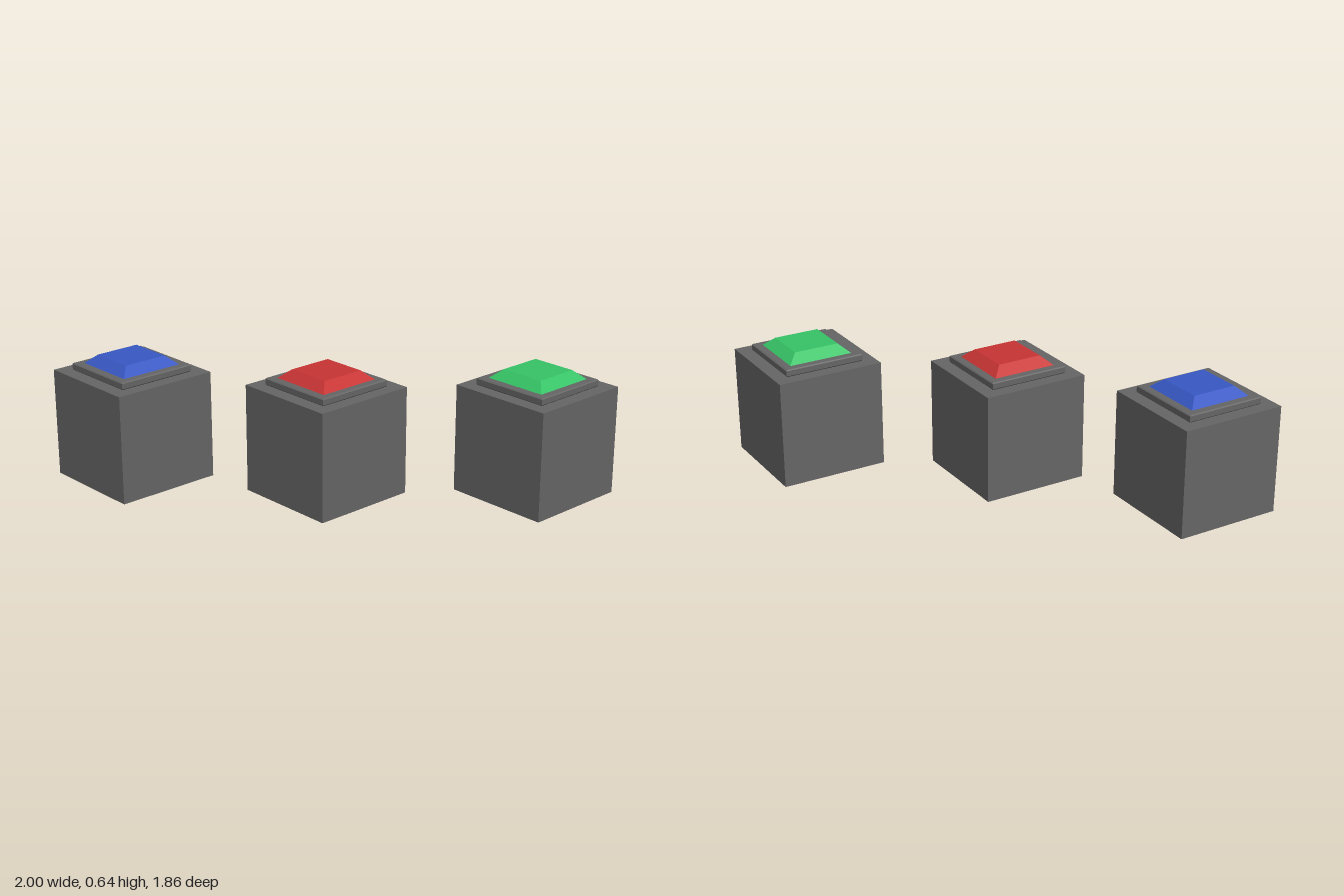
import * as THREE from 'three';

const SIDE = 0.543;

// Square plate with small chamfers on every edge, standing on y = 0
function chamferedPlate(size, height, c) {
  const h = size / 2 - c;
  const square = new THREE.Shape([
    new THREE.Vector2(-h, -h), new THREE.Vector2(h, -h),
    new THREE.Vector2(h, h), new THREE.Vector2(-h, h),
  ]);
  const geo = new THREE.ExtrudeGeometry(square, {
    depth: height - 2 * c, bevelEnabled: true, bevelSize: c, bevelThickness: c, bevelSegments: 1,
  });
  return geo.translate(0, 0, c).rotateX(-Math.PI / 2);
}

// Square frustum standing on y = 0
function frustum(bottom, top, height) {
  return new THREE.CylinderGeometry(top * Math.SQRT1_2, bottom * Math.SQRT1_2, height, 4)
    .rotateY(Math.PI / 4).translate(0, height / 2, 0).toNonIndexed();
}

function material(name, color) {
  const m = new THREE.MeshStandardMaterial({ color });
  m.name = name;
  return m;
}

export function createModel() {
  const model = new THREE.Group();
  model.name = 'buttonBoxes';
  const grey = material('grey', 0x666666);

  const boxGeo = new THREE.BoxGeometry(SIDE, SIDE, SIDE).translate(0, SIDE / 2, 0);
  const plateGeo = chamferedPlate(0.41, 0.037, 0.005);
  const buttonGeo = frustum(0.328, 0.23, 0.044);
  buttonGeo.computeVertexNormals();

  const add = (parent, name, geo, mat, y) => {
    const mesh = new THREE.Mesh(geo, mat);
    mesh.name = name;
    mesh.position.y = y;
    parent.add(mesh);
  };

  // Three pedestals, each with a raised plate and a coloured button
  const units = [
    ['blue', 0x3858c4, -0.7285, 0.013, 0.658],
    ['red', 0xc83434, 0.064, 0.007, 0.1],
    ['green', 0x36c466, 0.7285, 0, -0.658],
  ];
  for (const [name, color, x, y, z] of units) {
    const unit = new THREE.Group();
    unit.name = name + 'ButtonBox';
    unit.position.set(x, y, z);
    add(unit, 'pedestal', boxGeo, grey, 0);
    add(unit, 'plate', plateGeo, grey, SIDE);
    add(unit, 'button', buttonGeo, material(name, color), SIDE + 0.037);
    model.add(unit);
  }
  return model;
}
